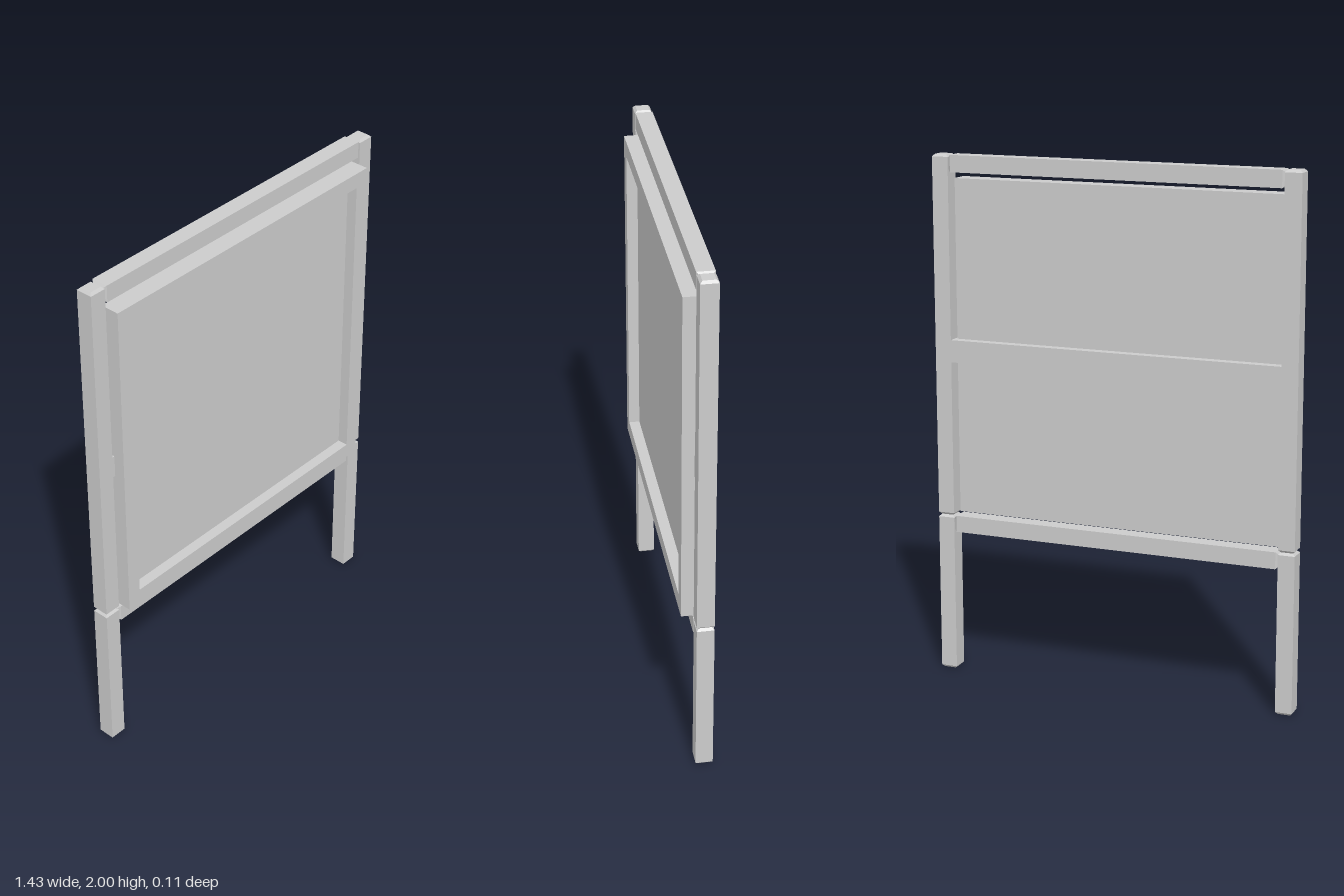
import * as THREE from 'three';

const material = new THREE.MeshStandardMaterial({ color: 0xcccccc, flatShading: true });

const T = 0.064;          // timber thickness
const BEVEL = 0.009;      // chamfer on beam ends
const BACK = -0.054;      // rear plane of the frame
const Z = BACK + T / 2;   // centre plane of the frame

function rectPath(PathType, x0, y0, x1, y1) {
  const p = new PathType();
  p.moveTo(x0, y0);
  p.lineTo(x1, y0);
  p.lineTo(x1, y1);
  p.lineTo(x0, y1);
  p.closePath();
  return p;
}

function add(group, name, geometry, x, y, z) {
  const mesh = new THREE.Mesh(geometry, material);
  mesh.name = name;
  mesh.position.set(x, y, z);
  group.add(mesh);
  return mesh;
}

// Square beam along z, centred, with both ends chamfered
function beamGeometry(length) {
  const h = T / 2;
  const g = new THREE.ExtrudeGeometry(rectPath(THREE.Shape, -h, -h, h, h), {
    depth: length - 2 * BEVEL,
    bevelThickness: BEVEL,
    bevelSize: BEVEL,
    bevelOffset: -BEVEL,
    bevelSegments: 1,
  });
  return g.translate(0, 0, -length / 2 + BEVEL);
}

export function createModel() {
  const model = new THREE.Group();
  model.name = 'noticeBoard';

  // Posts, each a leg with an upright stacked on it
  for (const [side, s] of [['left', 1], ['right', -1]]) {
    for (const [part, y0, y1] of [['Leg', 0, 0.62], ['Upright', 0.62, 2]]) {
      const g = beamGeometry(y1 - y0).rotateX(Math.PI / 2);
      add(model, side + part, g, s * 0.682, (y0 + y1) / 2, Z);
    }
  }

  // Top and bottom rails between the posts
  for (const [name, y] of [['topRail', 1.967], ['bottomRail', 0.588]]) {
    add(model, name, beamGeometry(1.3).rotateY(Math.PI / 2), 0, y, Z);
  }

  // Middle rail, flush with the back of the posts
  add(model, 'middleRail', new THREE.BoxGeometry(1.31, 0.085, T), 0, 1.262, Z);

  // Raised border around the board
  const border = rectPath(THREE.Shape, -0.64, 0.63, 0.64, 1.91);
  border.holes.push(rectPath(THREE.Path, -0.585, 0.69, 0.585, 1.85));
  const borderGeometry = new THREE.ExtrudeGeometry(border, { depth: 0.072, bevelEnabled: false });
  add(model, 'boardBorder', borderGeometry, 0, 0, -0.018);

  // Recessed display board, flush with the back of its border
  add(model, 'displayBoard', new THREE.BoxGeometry(1.17, 1.16, 0.031), 0, 1.27, -0.0025);

  return model;
}
